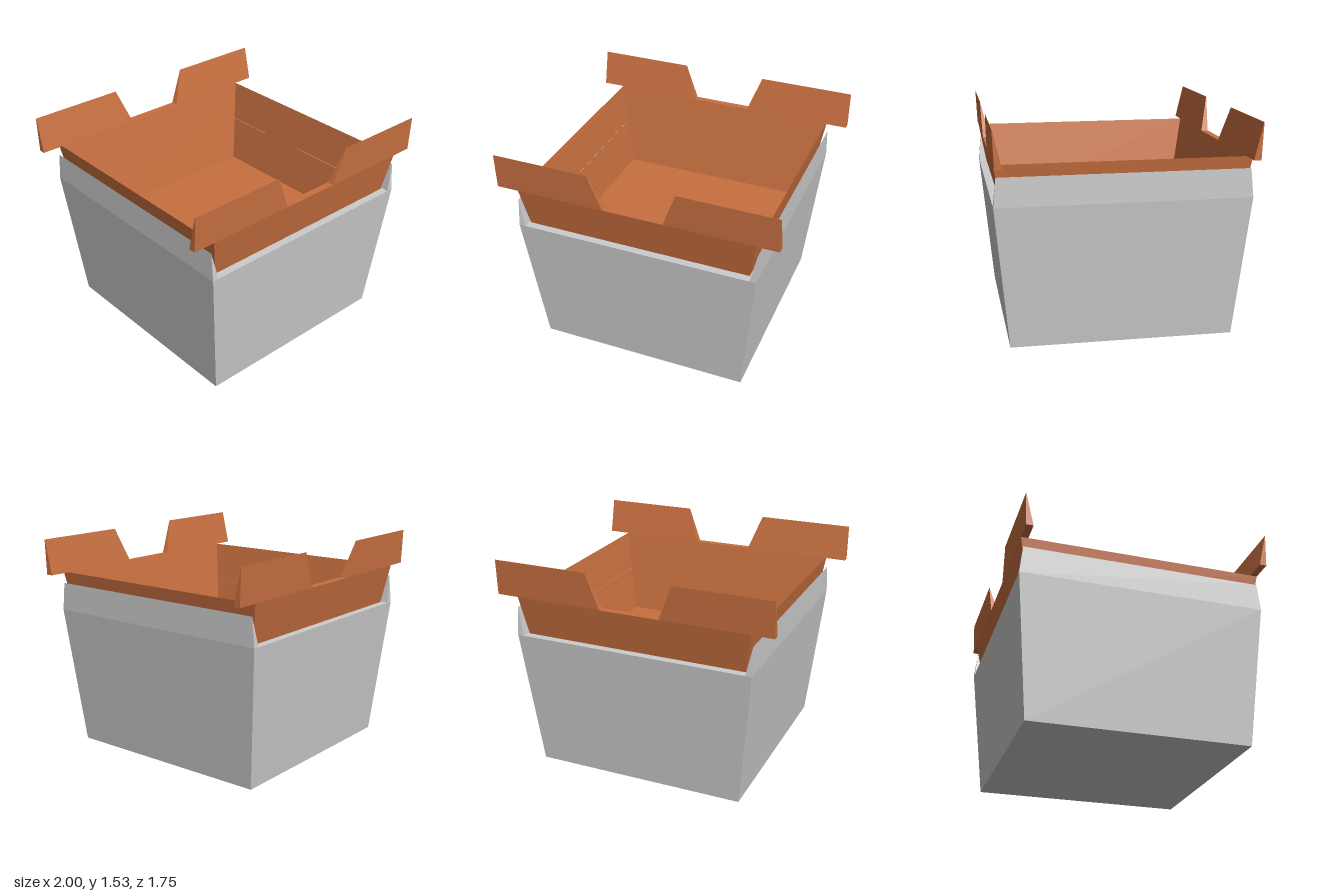
import * as THREE from 'three';

const orange = new THREE.MeshStandardMaterial({ name: 'orange', color: 0xc87040 });
const grey = new THREE.MeshStandardMaterial({ name: 'light grey', color: 0xcccccc });

// Loft through rectangles given as [half width, height, half depth]
function loft(levels, { capStart = false, capEnd = false }) {
  const rings = levels.map(([x, y, z]) => [[x, y, z], [x, y, -z], [-x, y, -z], [-x, y, z]]);
  const pos = [];
  const quad = (a, b, c, d) => pos.push(...a, ...b, ...c, ...a, ...c, ...d);
  for (let r = 0; r < rings.length - 1; r++) {
    const a = rings[r], b = rings[r + 1];
    for (let i = 0; i < 4; i++) {
      const j = (i + 1) % 4;
      quad(a[i], a[j], b[j], b[i]);
    }
  }
  if (capStart) quad(...[...rings[0]].reverse());
  if (capEnd) quad(...rings[rings.length - 1]);
  const geo = new THREE.BufferGeometry();
  geo.setAttribute('position', new THREE.Float32BufferAttribute(pos, 3));
  geo.computeVertexNormals();
  return geo;
}

// Extrude an outline by one unit, then place each vertex in depth by zAt(t, y)
function shapedSlab(points, zAt) {
  const shape = new THREE.Shape(points.map(([x, y]) => new THREE.Vector2(x, y)));
  const geo = new THREE.ExtrudeGeometry(shape, { depth: 1, bevelEnabled: false });
  const p = geo.attributes.position;
  for (let i = 0; i < p.count; i++) p.setZ(i, zAt(p.getZ(i), p.getY(i)));
  geo.computeVertexNormals();
  return geo;
}

export function createModel() {
  const model = new THREE.Group();
  model.name = 'box';
  const add = (name, geo, mat, turn = 0) => {
    const mesh = new THREE.Mesh(geo, mat);
    mesh.name = name;
    mesh.rotation.y = turn;
    model.add(mesh);
  };

  // Tapered outer box with a ledge around the tray
  add('outerBox', loft([[0.76, 0, 0.775], [0.86, 1, 0.87], [0.785, 1, 0.8]], { capStart: true }), grey);

  // Tray: outer wall, rim, inner wall, floor
  add('tray', loft([
    [0.8, 1, 0.815], [0.845, 1.28, 0.865], [0.845, 1.28, 0.815], [0.72, 0.68, 0.695],
  ], { capEnd: true }), orange);

  // Thin raised lips on the two sides of the box
  const lip = shapedSlab([[0.815, 1], [0.86, 1], [0.857, 1.2]],
    (t, y) => (t * 2 - 1) * THREE.MathUtils.mapLinear(y, 1, 1.2, 0.87, 0.85));

  // Wedge-shaped ears beside the notch, sharp along the top
  const earZ = (t, y) => {
    const k = (y - 1.28) / 0.25;
    return THREE.MathUtils.lerp(t > 0.5 ? 0.865 : 0.815, t > 0.5 ? 0.875 : 0.873, k);
  };
  const earOutline = [[0.215, 1.28], [1, 1.28], [1, 1.53], [0.31, 1.53]];
  const ears = [1, -1].map(s => shapedSlab(earOutline.map(([x, y]) => [s * x, y]), earZ));

  for (const [i, turn] of [0, Math.PI].entries()) {
    const end = i ? 'back' : 'front';
    add(i ? 'rightLip' : 'leftLip', lip, grey, turn);
    ears.forEach((ear, e) => add(end + (e === i ? 'LeftEar' : 'RightEar'), ear, orange, turn));
  }
  return model;
}
